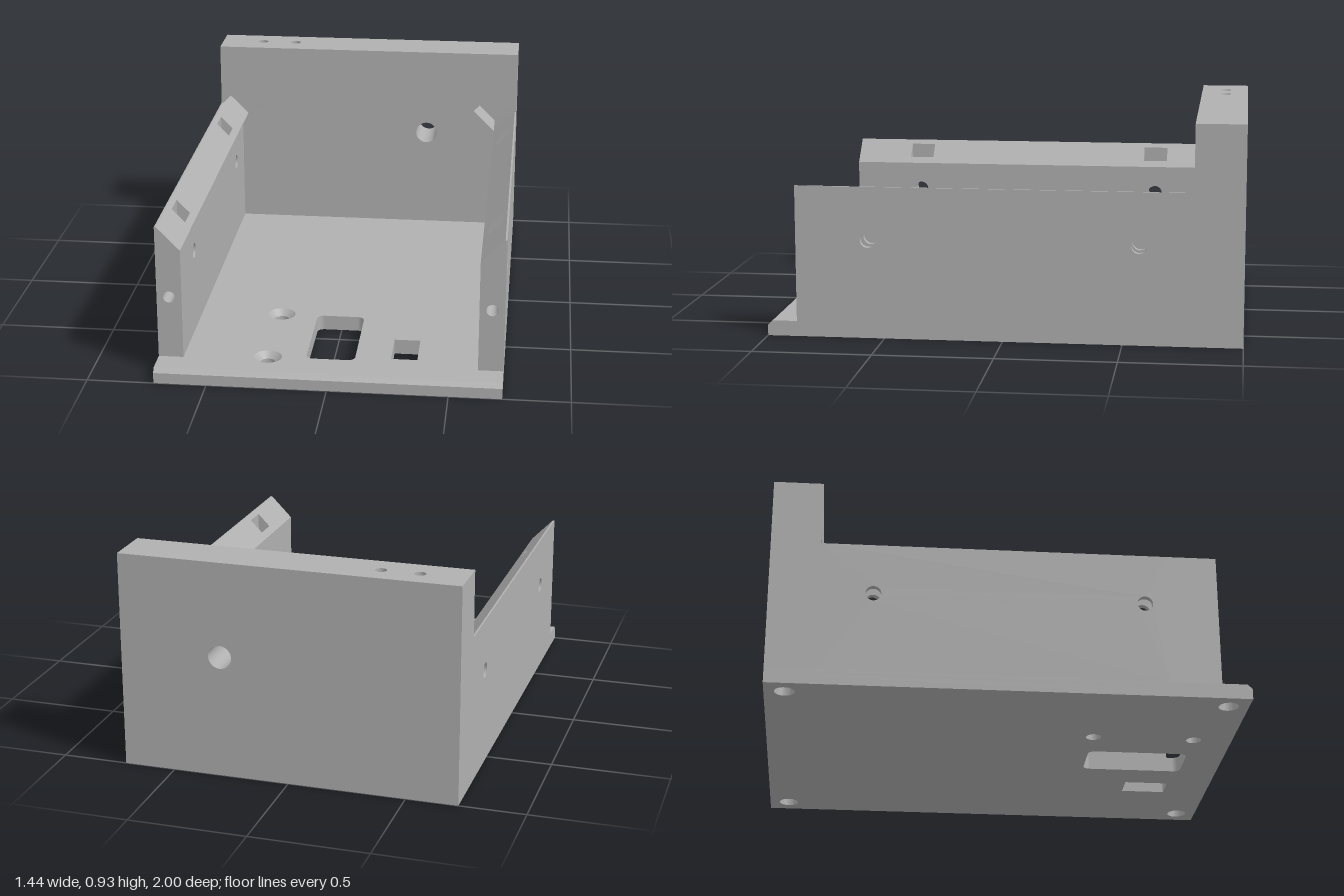
import * as THREE from 'three';

const W = 0.72, INNER = 0.615, FLOOR = 0.065, PLATE = 0.04;
const BACK = -0.79, FRONT = 0.875, TOP = 0.93, WALL = 0.645;

const poly = (pts) => new THREE.Shape(pts.map(([u, v]) => new THREE.Vector2(u, v)));
const rect = (u0, v0, u1, v1) => poly([[u0, v0], [u1, v0], [u1, v1], [u0, v1]]);
const circle = (u, v, r) => new THREE.Path().absarc(u, v, r, 0, Math.PI * 2, false);

function roundedRect(u0, v0, u1, v1, r) {
  const p = new THREE.Path();
  p.absarc(u1 - r, v1 - r, r, 0, Math.PI / 2, false);
  p.absarc(u0 + r, v1 - r, r, Math.PI / 2, Math.PI, false);
  p.absarc(u0 + r, v0 + r, r, Math.PI, Math.PI * 1.5, false);
  p.absarc(u1 - r, v0 + r, r, Math.PI * 1.5, Math.PI * 2, false);
  p.closePath();
  return p;
}

// Extrudes a shape from a to b along an axis: x uses (-z, y), y uses (x, -z), z uses (x, y)
function slab(shape, holes, axis, a, b) {
  shape.holes.push(...holes);
  const g = new THREE.ExtrudeGeometry(shape, { depth: b - a, bevelEnabled: false, curveSegments: 24 });
  g.translate(0, 0, a);
  if (axis === 'x') g.rotateY(Math.PI / 2);
  if (axis === 'y') g.rotateX(-Math.PI / 2);
  return g;
}

export function createModel() {
  const model = new THREE.Group();
  model.name = 'openEnclosure';
  const grey = new THREE.MeshStandardMaterial({ color: 0xb0b0b0 });
  grey.name = 'plainGrey';
  const add = (name, geometry) => {
    const m = new THREE.Mesh(geometry, grey);
    m.name = name;
    model.add(m);
    return m;
  };

  // Floor: lower layer has blind foot recesses, upper layer has the countersinks
  const screws = [[-0.265, 0.4], [-0.265, 0.835]];
  const windows = () => [
    roundedRect(-0.105, -0.835, 0.1, -0.4, 0.03),
    rect(0.25, -0.805, 0.36, -0.615),
  ];
  const feet = [];
  for (const x of [-0.635, 0.635]) for (const z of [-0.915, 0.915]) feet.push(circle(x, -z, 0.042));
  add('floorLower', slab(rect(-W, -1, W, 1),
    [...windows(), ...feet, ...screws.map(([x, z]) => circle(x, -z, 0.032))], 'y', 0, PLATE));
  add('floorUpper', slab(rect(-W, -0.98, W, 1),
    [...windows(), ...screws.map(([x, z]) => circle(x, -z, 0.06))], 'y', PLATE, FLOOR));
  for (const [x, z] of screws) {
    const cone = [new THREE.Vector2(0.06, FLOOR), new THREE.Vector2(0.032, PLATE)];
    add('countersink', new THREE.LatheGeometry(cone, 48)).position.set(x, 0, z);
  }
  add('frontLip', slab(poly([[-0.98, PLATE], [-1, PLATE], [-1, 0.046], [-0.98, FLOOR]]), [], 'x', -W, W));

  // Back wall: cable hole, diamond pockets, and a cap with two blind screw holes
  const cable = () => circle(0.287, 0.525, 0.05);
  const diamond = (x, y, r) => poly([[x - r, y], [x, y - r], [x + r, y], [x, y + r]]);
  const capY = 0.75, pocketZ = -0.95;
  add('backWallRear', slab(rect(-W, FLOOR, W, capY), [cable()], 'z', -1, pocketZ));
  add('backWallFront', slab(rect(-W, FLOOR, W, capY),
    [cable(), diamond(-0.614, 0.643, 0.099), diamond(0.614, 0.643, 0.099)], 'z', pocketZ, BACK));
  add('backWallCap', slab(rect(-W, -BACK, W, 1),
    [circle(-0.525, 0.9, 0.024), circle(-0.365, 0.9, 0.024)], 'y', capY, TOP));

  // Side walls: layered across x so nut slots drop from the sloped top to the cross holes
  const RIDGE = 0.712, LOW = 0.545, blockZ = 0.66;
  const slopeY = (x) => Math.min(WALL, LOW + (x - INNER) / (RIDGE - INNER) * (WALL - LOW));
  const plain = () => rect(-blockZ, FLOOR, -BACK, WALL);
  const crossHoles = () => [circle(-0.567, 0.42, 0.033), circle(0.567, 0.42, 0.033)];
  const slotted = () => poly([
    [-blockZ, FLOOR], [-BACK, FLOOR], [-BACK, WALL],
    [0.622, WALL], [0.622, 0.365], [0.512, 0.365], [0.512, WALL],
    [-0.512, WALL], [-0.512, 0.365], [-0.622, 0.365], [-0.622, WALL], [-blockZ, WALL],
  ]);
  const layers = [[INNER, 0.64], [0.64, 0.695], [0.695, RIDGE], [RIDGE, W]];

  for (const s of [-1, 1]) {
    const side = s > 0 ? 'left' : 'right';
    layers.forEach(([a, b], i) => {
      const g = slab(i === 1 ? slotted() : plain(), i === 1 ? [] : crossHoles(), 'x',
        Math.min(s * a, s * b), Math.max(s * a, s * b));
      // Lower the top edge to follow the slope
      const p = g.attributes.position;
      for (let k = 0; k < p.count; k++) {
        if (p.getY(k) > 0.6) p.setY(k, slopeY(Math.abs(p.getX(k))));
      }
      g.computeVertexNormals();
      add(side + 'WallLayer', g);
    });
    // Front end of the wall with a blind screw hole
    const profile = [[INNER, FLOOR], [W, FLOOR], [W, WALL], [RIDGE, WALL], [INNER, LOW]];
    add(side + 'WallFrontEnd', slab(poly(profile.map(([x, y]) => [s * x, y])),
      [circle(s * 0.668, 0.336, 0.025)], 'z', blockZ, FRONT));
  }
  return model;
}
